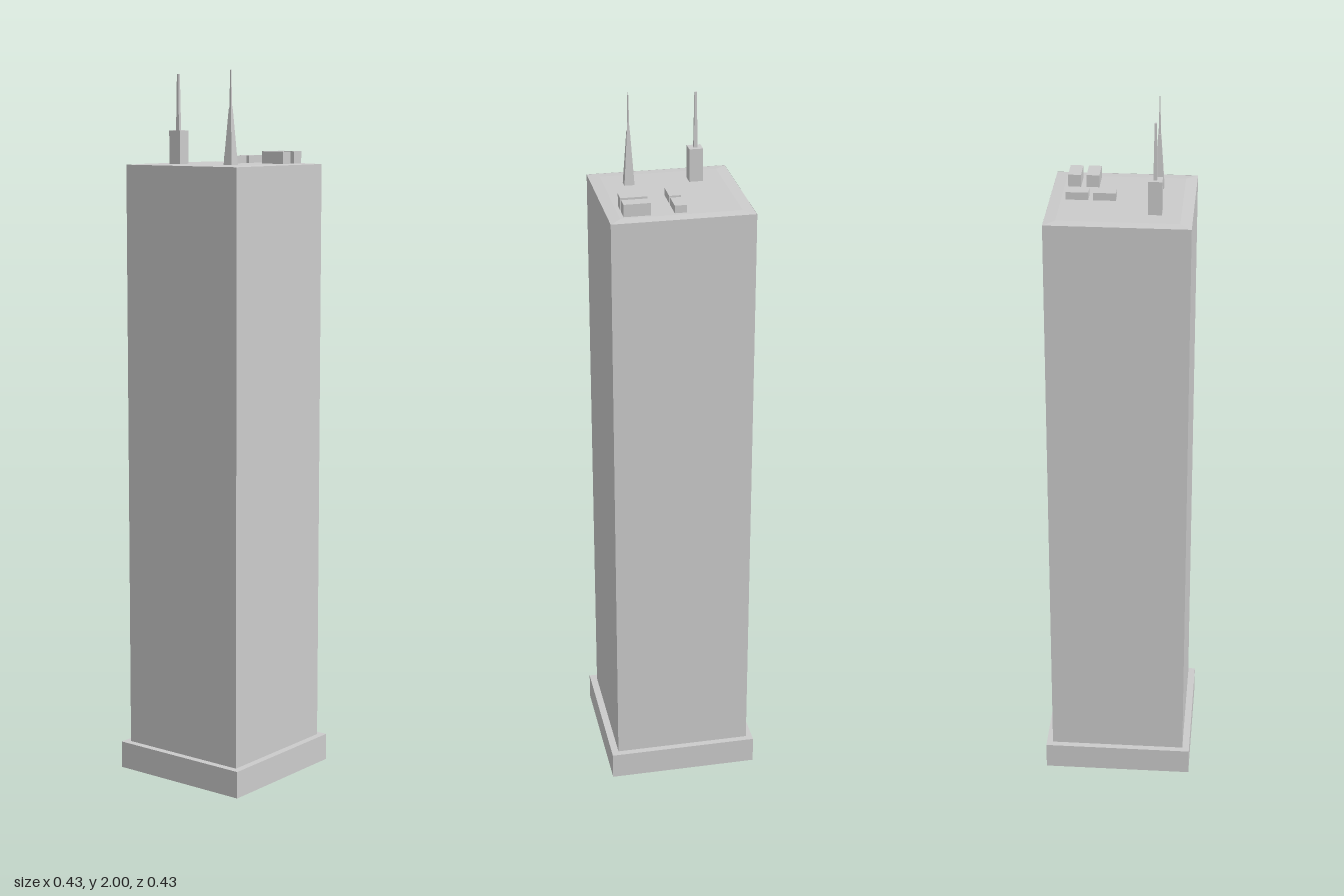
import * as THREE from 'three';

const material = new THREE.MeshStandardMaterial({ color: 0xcccccc, flatShading: true, side: THREE.DoubleSide });

const ROOF = 1.742;      // height of the roof edge
const BASE_TOP = 0.077;  // height of the plinth

export function createModel() {
  const model = new THREE.Group();

  function add(name, geometry, x, y, z) {
    const mesh = new THREE.Mesh(geometry, material);
    mesh.name = name;
    mesh.position.set(x, y, z);
    model.add(mesh);
    return mesh;
  }

  // Square prism or frustum, given half widths and the heights it spans
  function frustum(name, x, z, halfBottom, halfTop, y0, y1, open = false) {
    const g = new THREE.CylinderGeometry(halfTop * Math.SQRT2, halfBottom * Math.SQRT2, y1 - y0, 4, 1, open);
    g.rotateY(Math.PI / 4);
    return add(name, g, x, (y0 + y1) / 2, z);
  }

  // Upright box given by its extents in x, z and y
  function block(name, x0, x1, z0, z1, y0, y1) {
    return add(name, new THREE.BoxGeometry(x1 - x0, y1 - y0, z1 - z0), (x0 + x1) / 2, (y0 + y1) / 2, (z0 + z1) / 2);
  }

  // Plinth: four walls and a deck, open underneath
  frustum('plinthWalls', 0, 0, 0.213, 0.213, 0, BASE_TOP, true);
  const deck = new THREE.PlaneGeometry(0.426, 0.426).rotateX(-Math.PI / 2);
  add('plinthDeck', deck, 0, BASE_TOP, 0);

  // Tower shaft and its roof with gently sloping borders
  frustum('towerShaft', -0.001, -0.001, 0.194, 0.194, BASE_TOP, ROOF, true);
  frustum('roof', -0.001, -0.001, 0.194, 0.163, ROOF - 0.0005, ROOF + 0.002);

  // Roof plant: two long low housings and two taller wide ones
  for (const z of [-0.152, -0.078]) block('lowRoofUnit', -0.016, 0.016, z, z + 0.061, ROOF, 1.765);
  for (const z of [-0.154, -0.104]) block('wideRoofUnit', 0.079, 0.152, z, z + 0.035, ROOF, 1.778);

  // Antenna on a square pedestal
  block('antennaPedestal', -0.108, -0.07, 0.074, 0.111, ROOF, 1.836);
  frustum('antennaMast', -0.09, 0.092, 0.005, 0.003, 1.836, 1.99);

  // Tapered spire carrying a needle
  frustum('spire', 0.094, 0.092, 0.014, 0.004, ROOF, 1.895);
  frustum('spireNeedle', 0.094, 0.092, 0.003, 0.001, 1.895, 2);

  return model;
}
